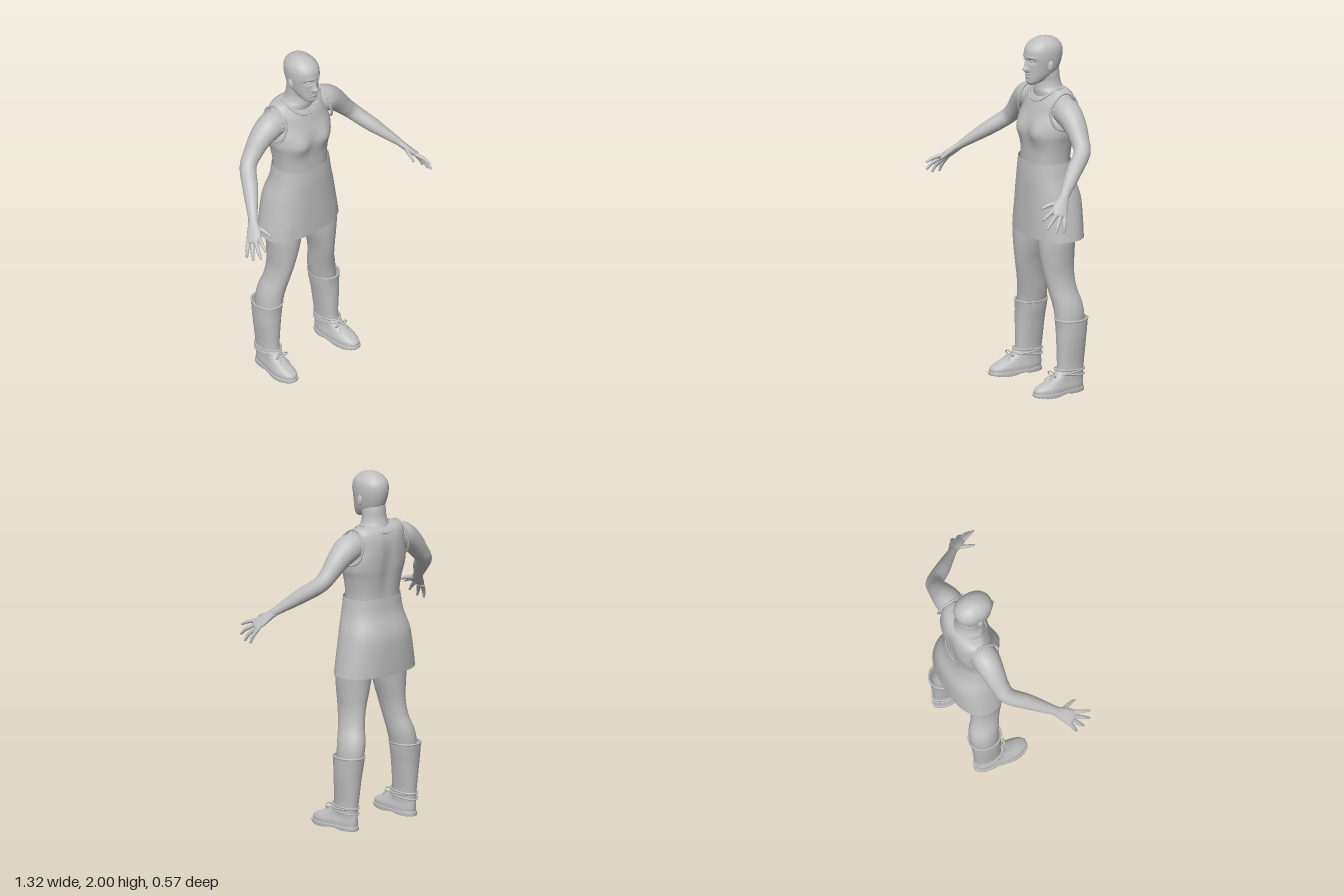
import * as THREE from 'three';

const grey = new THREE.MeshStandardMaterial({ color: 0xc0c0c0, side: THREE.DoubleSide });
grey.name = 'plain grey';

// Smoothly resample a short list of cross-sections
function resample(keys, steps) {
  const size = keys[0].length;
  const curve = new THREE.CubicInterpolant(keys.map((_, i) => i), keys.flat(), size);
  const out = [];
  for (let i = 0; i <= (keys.length - 1) * steps; i++) out.push(Array.from(curve.evaluate(i / steps)));
  return out;
}

// Join closed rings of points into a smooth skin, optionally capped
function skin(rings, capped = true) {
  const n = rings[0].length, pos = [], index = [];
  rings.forEach(r => r.forEach(p => pos.push(p.x, p.y, p.z)));
  for (let i = 0; i < rings.length - 1; i++) {
    for (let j = 0; j < n; j++) {
      const a = i * n + j, b = i * n + (j + 1) % n;
      index.push(a, b, b + n, a, b + n, a + n);
    }
  }
  if (capped) {
    [0, rings.length - 1].forEach(row => {
      const mid = new THREE.Vector3();
      rings[row].forEach(p => mid.addScaledVector(p, 1 / n));
      const c = pos.push(mid.x, mid.y, mid.z) / 3 - 1;
      for (let j = 0; j < n; j++) {
        const a = row * n + j, b = row * n + (j + 1) % n;
        if (row) index.push(a, b, c); else index.push(b, a, c);
      }
    });
  }
  const geo = new THREE.BufferGeometry();
  geo.setAttribute('position', new THREE.Float32BufferAttribute(pos, 3));
  geo.setIndex(index);
  geo.computeVertexNormals();
  return geo;
}

// Horizontal sections, bottom to top: [y, centre x, half width, front z, back z]
function stack(keys, { n = 2, segs = 40, steps = 5, capped = true, rule } = {}) {
  const pw = v => Math.sign(v) * Math.abs(v) ** (2 / n);
  return skin(resample(keys, steps).map(([y, cx, rx, zf, zb]) =>
    Array.from({ length: segs }, (_, j) => {
      const a = j / segs * Math.PI * 2;
      const p = new THREE.Vector3(cx + rx * pw(Math.sin(a)), y, (zf + zb) / 2 + (zf - zb) / 2 * pw(Math.cos(a)));
      if (rule) rule(p, Math.cos(a));
      return p;
    })), capped);
}

// Sections along a path: [x, y, z, radius along ref, radius across]
function limb(keys, ref, segs = 20, steps = 6) {
  const rows = resample(keys, steps);
  const pts = rows.map(r => new THREE.Vector3(r[0], r[1], r[2]));
  return skin(rows.map((r, i) => {
    const t = pts[Math.min(i + 1, pts.length - 1)].clone().sub(pts[Math.max(i - 1, 0)]).normalize();
    const b = ref.clone().addScaledVector(t, -ref.dot(t)).normalize();
    const c = t.clone().cross(b);
    return Array.from({ length: segs }, (_, j) => {
      const a = j / segs * Math.PI * 2;
      return pts[i].clone().addScaledVector(b, r[3] * Math.cos(a)).addScaledVector(c, r[4] * Math.sin(a));
    });
  }));
}

function cord(points, radius, closed = true) {
  const curve = new THREE.CatmullRomCurve3(points.map(p => new THREE.Vector3(...p)), closed);
  return new THREE.TubeGeometry(curve, 48, radius, 6, closed);
}

function mirrored(geo) {
  const m = geo.clone().scale(-1, 1, 1), ix = m.index;
  for (let i = 0; i < ix.count; i += 3) {
    const a = ix.getX(i);
    ix.setX(i, ix.getX(i + 1));
    ix.setX(i + 1, a);
  }
  return m;
}

const bump = (x, y, sx, sy) => Math.exp(-((x / sx) ** 2) - (y / sy) ** 2);

export function createModel() {
  const model = new THREE.Group();
  model.name = 'standingFigure';
  const add = (name, geo) => {
    const mesh = new THREE.Mesh(geo, grey);
    mesh.name = name;
    model.add(mesh);
  };
  const pair = (name, geo) => {
    add('left' + name, geo);
    add('right' + name, mirrored(geo));
  };

  // Head with a sculpted face
  add('head', stack([
    [1.735, 0, .022, -.004, -.05], [1.75, 0, .042, .002, -.09], [1.78, 0, .06, .004, -.15],
    [1.81, 0, .071, .004, -.185], [1.85, 0, .079, .006, -.202], [1.89, 0, .084, .011, -.211],
    [1.93, 0, .083, .008, -.211], [1.96, 0, .072, -.01, -.197], [1.984, 0, .048, -.042, -.168],
    [1.996, 0, .022, -.075, -.13], [2, 0, .003, -.098, -.104],
  ], {
    n: 2.15, segs: 96, steps: 8, rule(p, front) {
      if (front < 0) return;
      const x = Math.abs(p.x), y = p.y;
      p.z += .026 * bump(x, y - 1.825, .014, .016) + .014 * bump(x, y - 1.855, .011, .025)
        + .008 * bump(x - .013, y - 1.82, .008, .009)
        - .015 * bump(x - .034, y - 1.874, .02, .012) + .005 * bump(x - .03, y - 1.895, .028, .008)
        + .007 * bump(x, y - 1.796, .022, .005) + .007 * bump(x, y - 1.782, .02, .006)
        - .004 * bump(x, y - 1.789, .026, .003) + .004 * bump(x, y - 1.752, .02, .012);
    },
  }));
  pair('Eye', new THREE.SphereGeometry(.013, 16, 12).scale(1.2, .65, .8).translate(.034, 1.874, -.009));
  pair('Ear', new THREE.SphereGeometry(1, 16, 12).scale(.01, .031, .019).rotateX(-.15).translate(.083, 1.845, -.1));
  add('neck', stack([
    [1.65, 0, .11, -.06, -.225], [1.69, 0, .098, -.055, -.217], [1.715, 0, .077, -.058, -.208],
    [1.75, 0, .067, -.06, -.198], [1.79, 0, .065, -.05, -.195], [1.83, 0, .06, -.05, -.19],
  ]));

  // Sleeveless top with bust and spine hollow
  add('top', stack([
    [1.27, 0, .161, -.002, -.228], [1.31, 0, .162, -.002, -.228], [1.36, 0, .168, -.002, -.232],
    [1.42, 0, .18, 0, -.24], [1.47, 0, .194, 0, -.248], [1.53, 0, .195, -.008, -.253],
    [1.585, 0, .18, -.025, -.255], [1.64, 0, .175, -.045, -.25], [1.682, 0, .165, -.075, -.235],
    [1.703, 0, .14, -.095, -.212], [1.71, 0, .09, -.11, -.2],
  ], {
    n: 2.4, segs: 64, rule(p, front) {
      const x = Math.abs(p.x);
      if (front > 0) p.z += .024 * bump(x - .085, p.y - 1.47, .06, .06);
      else p.z += .014 * bump(x, p.y - 1.48, .04, .16);
    },
  }));
  add('necklineTrim', cord([
    [0, 1.638, -.036], [.055, 1.65, -.045], [.096, 1.69, -.085], [.1, 1.712, -.14],
    [.07, 1.69, -.215], [0, 1.672, -.238],
    [-.07, 1.69, -.215], [-.1, 1.712, -.14], [-.096, 1.69, -.085], [-.055, 1.65, -.045],
  ], .005));
  pair('ArmholeTrim', cord([
    [.158, 1.7, -.14], [.165, 1.66, -.07], [.165, 1.6, -.045], [.186, 1.53, -.06],
    [.197, 1.5, -.125], [.186, 1.53, -.2], [.168, 1.61, -.22], [.162, 1.67, -.2],
  ], .007));
  pair('StrapTab', new THREE.BoxGeometry(.028, .026, .012).translate(.178, 1.612, -.055));

  // Skirt, open at the hem
  add('skirt', stack([
    [.87, 0, .255, .02, -.284], [.96, 0, .24, .02, -.286], [1.06, 0, .221, .02, -.285],
    [1.12, 0, .208, .02, -.275], [1.21, 0, .182, .02, -.246], [1.3, 0, .168, .015, -.235],
  ], { n: 2.4, segs: 64, capped: false }));

  // Arms and hands
  const across = new THREE.Vector3(-.03, .025, .06);
  pair('Arm', limb([
    [.12, 1.61, -.135, .068, .068], [.2, 1.6, -.135, .076, .076], [.275, 1.55, -.135, .065, .064],
    [.335, 1.485, -.13, .053, .051], [.39, 1.425, -.11, .047, .045],
    [.455, 1.352, -.02, .043, .04], [.535, 1.265, .085, .028, .023], [.555, 1.24, .11, .026, .018],
  ], across, 28));
  pair('Palm', limb([
    [.525, 1.275, .072, .024, .02], [.555, 1.24, .11, .03, .019], [.582, 1.207, .145, .042, .018],
    [.605, 1.182, .17, .043, .014], [.615, 1.17, .18, .034, .008],
  ], across));
  [
    ['Thumb', [.557, 1.228, .14], [.54, 1.217, .19], [.53, 1.2, .233]],
    ['IndexFinger', [.583, 1.2, .183], [.603, 1.185, .235], [.615, 1.163, .278]],
    ['MiddleFinger', [.598, 1.185, .173], [.625, 1.15, .228], [.635, 1.113, .264]],
    ['RingFinger', [.608, 1.175, .16], [.638, 1.13, .195], [.65, 1.088, .217]],
    ['LittleFinger', [.613, 1.175, .14], [.643, 1.125, .158], [.654, 1.085, .168]],
  ].forEach(([name, a, b, c]) => pair(name, limb([
    [...a, .014, .012], [...b, .011, .01], [...c, .006, .006],
  ], across, 12)));

  // Legs
  pair('Leg', stack([
    [.3, .208, .055, -.07, -.22], [.42, .198, .067, -.064, -.235], [.5, .184, .069, -.055, -.23],
    [.58, .165, .062, -.038, -.208], [.67, .15, .065, -.018, -.2], [.77, .138, .083, -.004, -.205],
    [.87, .13, .099, .002, -.214], [1, .115, .11, 0, -.235], [1.15, .09, .09, -.02, -.22],
  ]));

  // Tall boots with rolled rim
  pair('BootShaft', stack([
    [.08, .219, .05, -.05, -.215], [.14, .219, .05, -.06, -.218], [.2, .218, .055, -.062, -.224],
    [.3, .217, .067, -.062, -.232], [.37, .213, .075, -.062, -.24], [.42, .211, .079, -.058, -.246],
  ], { n: 2.2, capped: false }));
  pair('BootRim', cord(Array.from({ length: 12 }, (_, i) => {
    const a = i / 12 * Math.PI * 2;
    return [.211 + .078 * Math.sin(a), .418, -.152 + .093 * Math.cos(a)];
  }), .006));

  // Shoes: narrow heel, toes turned slightly out
  const footShape = p => {
    const toe = THREE.MathUtils.smoothstep(p.z, -.15, .03);
    p.x = .219 + .013 * toe + (p.x - .22) * (.86 + .14 * toe);
  };
  pair('Shoe', stack([
    [.02, .22, .06, .098, -.216], [.045, .22, .06, .094, -.218], [.065, .22, .055, .062, -.218],
    [.085, .22, .051, .015, -.217], [.105, .22, .05, -.025, -.215], [.13, .22, .048, -.05, -.212],
  ], { n: 2.4, rule: footShape }));
  pair('Sole', stack([
    [0, .22, .062, .098, -.218], [.003, .22, .064, .103, -.222],
    [.022, .22, .064, .103, -.222], [.025, .22, .061, .1, -.219],
  ], {
    n: 2.5, steps: 3, rule(p) {
      footShape(p);
      if (p.y < .012) p.y += .012 * Math.exp(-(((p.z + .085) / .035) ** 2)) + .008 * THREE.MathUtils.smoothstep(p.z, .03, .1);
    },
  }));

  // Ankle laces and bow
  [[.108, .012], [.122, -.006], [.136, .006]].forEach(([y, tilt], k) =>
    pair('AnkleLace' + (k + 1), cord(Array.from({ length: 10 }, (_, i) => {
      const a = i / 10 * Math.PI * 2;
      return [.22 + .054 * Math.sin(a), y + tilt * Math.cos(a), -.134 + .09 * Math.cos(a)];
    }), .005)));
  [-1, 1].forEach(s => {
    pair(s < 0 ? 'InnerBow' : 'OuterBow', cord([
      [.222, .115, -.036], [.222 + s * .025, .13, -.02], [.222 + s * .04, .115, -.022], [.222 + s * .02, .106, -.026],
    ], .004));
    pair(s < 0 ? 'InnerLaceEnd' : 'OuterLaceEnd', cord([
      [.222, .115, -.036], [.222 + s * .018, .1, -.008], [.222 + s * .03, .082, .01],
    ], .0035, false));
  });

  return model;
}
